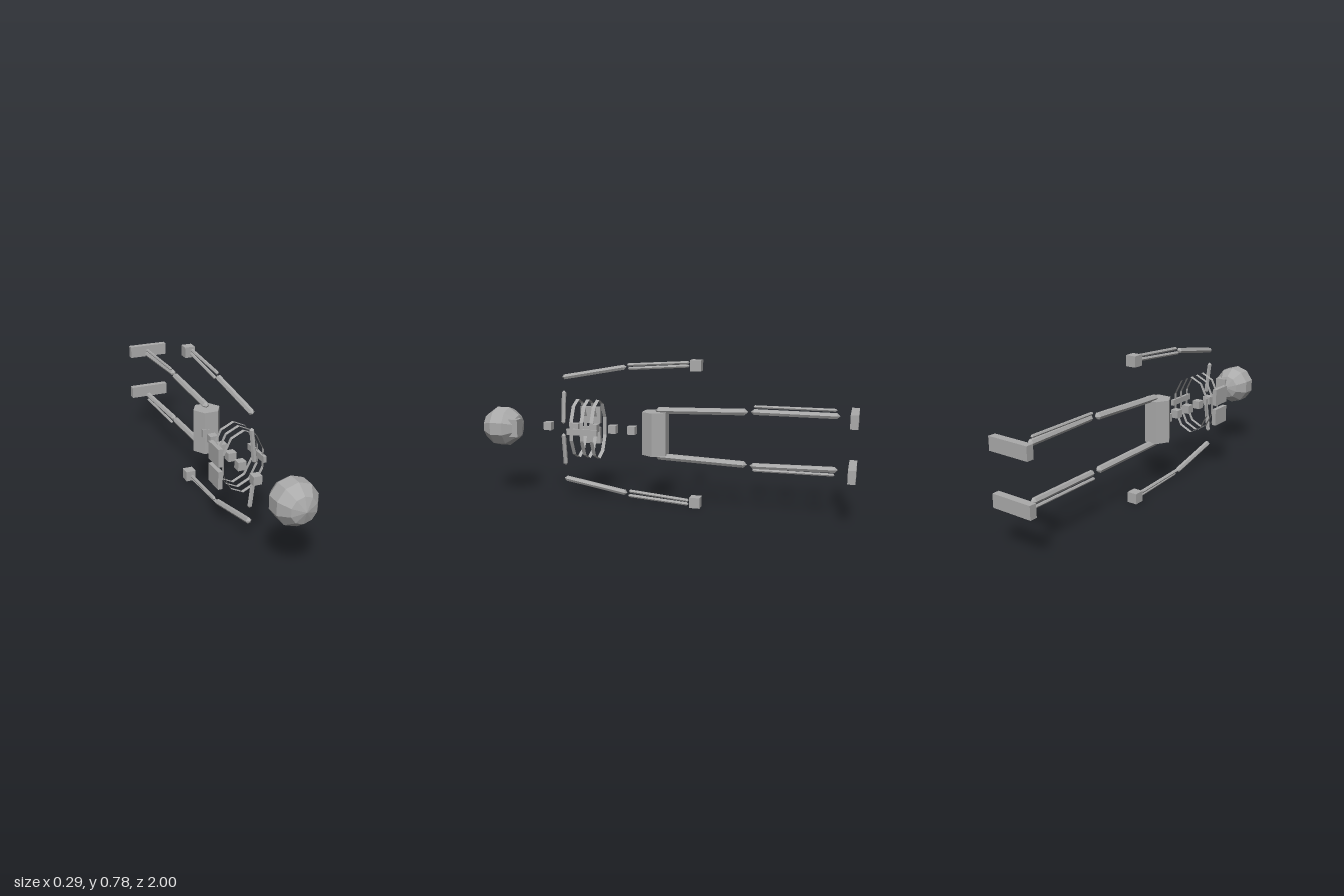
import * as THREE from 'three';

const MID = 0.389; // height of the body's plane of symmetry
const V = (x, y, z) => new THREE.Vector3(x, y, z);

export function createModel() {
  const model = new THREE.Group();
  const boneGrey = new THREE.MeshStandardMaterial({ color: 0xaaaaaa, flatShading: true, side: THREE.DoubleSide });
  boneGrey.name = 'boneGrey';

  function add(name, geometry, x, y, z) {
    const mesh = new THREE.Mesh(geometry, boneGrey);
    mesh.name = name;
    mesh.position.set(x, y, z);
    model.add(mesh);
    return mesh;
  }

  const box = (name, w, h, d, x, y, z) => add(name, new THREE.BoxGeometry(w, h, d), x, y, z);

  // Six-sided long bone with pointed ends, running from tip a to tip b
  function bone(name, r, a, b) {
    const dir = b.clone().sub(a);
    const geometry = new THREE.CapsuleGeometry(r, dir.length() - 2 * r, 1, 6);
    const mid = a.clone().add(b).multiplyScalar(0.5);
    const mesh = add(name, geometry, mid.x, mid.y, mid.z);
    mesh.quaternion.setFromUnitVectors(V(0, 1, 0), dir.normalize());
  }

  // Skull with its pole along the body, and jaw
  const skull = new THREE.SphereGeometry(0.111, 10, 5);
  skull.rotateX(Math.PI / 2).rotateZ(Math.PI / 2);
  add('skull', skull, 0.028, MID, 0.889);
  box('jaw', 0.065, 0.095, 0.08, 0.063, MID + 0.002, 0.818);

  // Spine
  for (const z of [0.648, 0.489, 0.382, 0.275, 0.168, 0.075]) {
    box('vertebra', 0.043, 0.043, 0.043, -0.03, MID + 0.003, z);
  }

  // Ribs as thin open oval bands, and breastbone
  for (const z of [0.463, 0.405, 0.35]) {
    const rib = new THREE.CylinderGeometry(0.16, 0.16, 0.02, 10, 1, true);
    rib.rotateX(Math.PI / 2).scale(0.68, 1, 1);
    add('rib', rib, -0.004, MID + 0.003, z);
  }
  box('breastbone', 0.016, 0.032, 0.17, 0.1, MID + 0.003, 0.402);

  // Pelvis, a hexagonal block across the hips
  const pelvis = new THREE.CylinderGeometry(0.073, 0.073, 0.228, 6);
  pelvis.rotateY(Math.PI / 2);
  add('pelvis', pelvis, -0.004, MID + 0.001, 0.03);

  // Paired bones, mirrored across the symmetry plane
  for (const s of [1, -1]) {
    const P = (x, d, z) => V(x, MID + s * d, z);

    box('shoulderBlade', 0.023, 0.091, 0.113, -0.135, MID + s * 0.057, 0.44);
    bone('collarbone', 0.012, P(-0.004, 0.207, 0.541), P(0.018, 0.024, 0.541));

    bone('upperArm', 0.015, P(-0.002, 0.277, 0.55), P(-0.018, 0.342, 0.192));
    bone('radius', 0.009, P(-0.012, 0.353, 0.188), P(-0.01, 0.375, -0.15));
    bone('ulna', 0.009, P(-0.025, 0.332, 0.188), P(-0.015, 0.357, -0.15));
    box('hand', 0.055, 0.056, 0.056, -0.016, MID + s * 0.361, -0.185);

    bone('thigh', 0.018, P(0, 0.122, 0.03), P(0.008, 0.136, -0.458));
    bone('shin', 0.016, P(0.013, 0.139, -0.472), P(-0.002, 0.135, -0.91));
    bone('calfBone', 0.008, P(0, 0.164, -0.482), P(-0.005, 0.163, -0.895));
    box('foot', 0.227, 0.068, 0.038, 0.03, MID + s * 0.133, -0.98);
  }
  return model;
}
